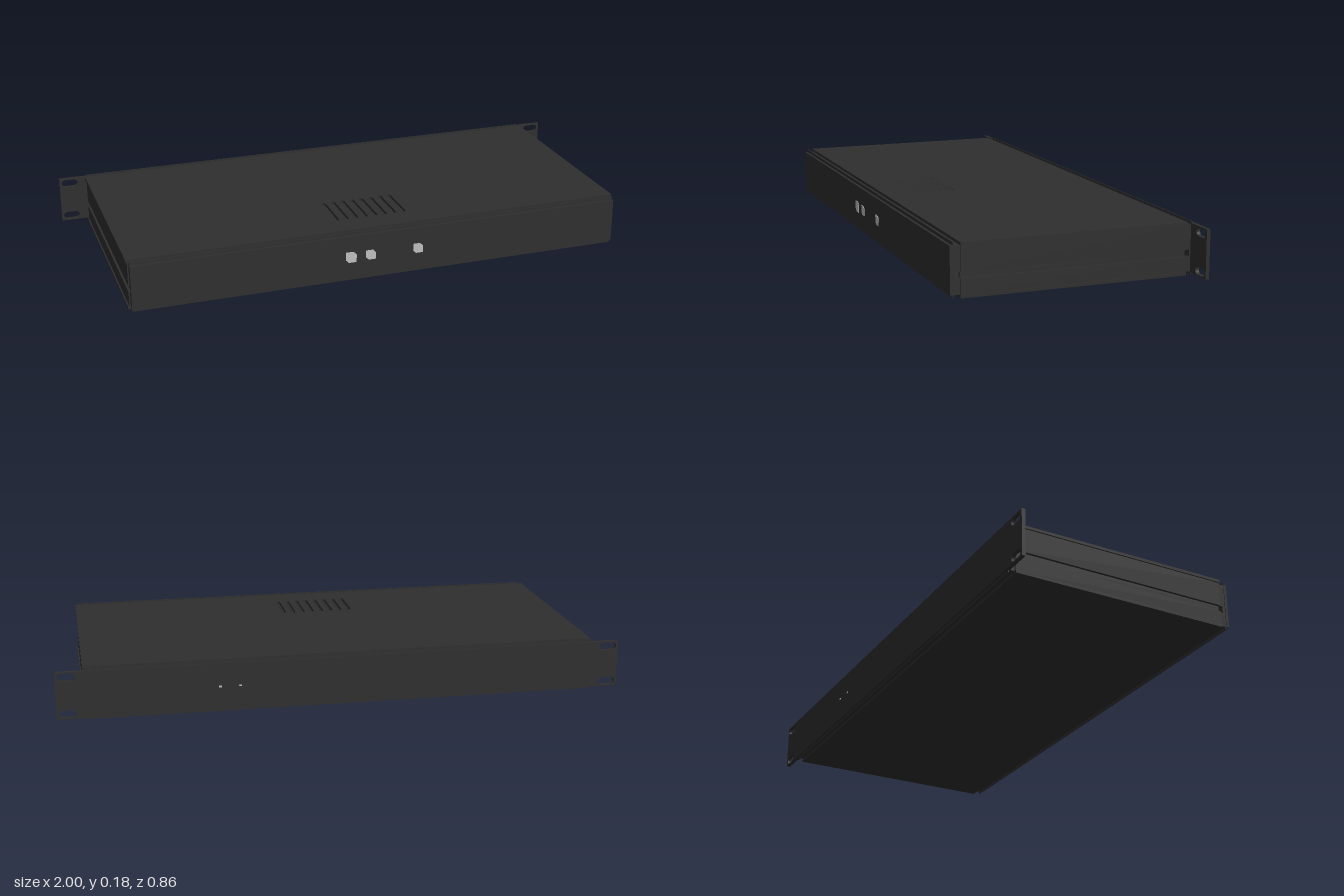
import * as THREE from 'three';

const black = new THREE.MeshStandardMaterial({ color: 0x2f2f2f });
black.name = 'black metal';
const grey = new THREE.MeshStandardMaterial({ color: 0xc0c0c0 });
grey.name = 'light grey';

function box(parent, name, x0, x1, y0, y1, z0, z1, material = black) {
  const mesh = new THREE.Mesh(new THREE.BoxGeometry(x1 - x0, y1 - y0, z1 - z0), material);
  mesh.position.set((x0 + x1) / 2, (y0 + y1) / 2, (z0 + z1) / 2);
  mesh.name = name;
  parent.add(mesh);
  return mesh;
}

function rectShape(w, h) {
  return new THREE.Shape([
    new THREE.Vector2(-w / 2, -h / 2), new THREE.Vector2(w / 2, -h / 2),
    new THREE.Vector2(w / 2, h / 2), new THREE.Vector2(-w / 2, h / 2),
  ]);
}

// Slot with round ends, lying along x or y
function slot(cx, cy, length, width, alongY = false) {
  const r = width / 2, d = length / 2 - r, path = new THREE.Path();
  if (alongY) {
    path.absarc(cx, cy + d, r, 0, Math.PI, false);
    path.absarc(cx, cy - d, r, Math.PI, Math.PI * 2, false);
  } else {
    path.absarc(cx + d, cy, r, -Math.PI / 2, Math.PI / 2, false);
    path.absarc(cx - d, cy, r, Math.PI / 2, Math.PI * 1.5, false);
  }
  path.closePath();
  return path;
}

function extrude(parent, name, shape, depth) {
  const geometry = new THREE.ExtrudeGeometry(shape, { depth, bevelEnabled: false, curveSegments: 6 });
  const mesh = new THREE.Mesh(geometry, black);
  mesh.name = name;
  parent.add(mesh);
  return mesh;
}

export function createModel() {
  const model = new THREE.Group();
  model.name = 'rackEnclosure';

  // Top cover with a row of vent slots near the front
  const cover = rectShape(1.81, 0.795);
  for (let i = 0; i < 8; i++) cover.holes.push(slot(-0.129 + i * 0.036, -0.22, 0.17, 0.016, true));
  const top = extrude(model, 'topCover', cover, 0.01);
  top.rotation.x = -Math.PI / 2;
  top.position.y = 0.173;

  // Bottom cover
  box(model, 'bottomCover', -0.905, 0.905, 0.002, 0.012, -0.398, 0.397);

  for (const s of [-1, 1]) {
    // Side rails with a long recessed groove
    const side = new THREE.Group();
    side.name = s > 0 ? 'leftSide' : 'rightSide';
    model.add(side);
    const rail = (name, xa, xb, y0, y1, z0, z1) =>
      box(side, name, Math.min(s * xa, s * xb), Math.max(s * xa, s * xb), y0, y1, z0, z1);
    rail('upperRail', 0.885, 0.9, 0.087, 0.173, -0.398, 0.396);
    rail('lowerRail', 0.885, 0.9, 0.012, 0.065, -0.398, 0.396);
    rail('railGroove', 0.885, 0.891, 0.065, 0.087, -0.398, 0.396);

    // Folded tabs that join the rails to the end panels
    for (const [z0, z1, w0, w1] of [[0.396, 0.425, 0.41, 0.425], [-0.42, -0.398, -0.42, -0.412]]) {
      rail('upperTab', 0.885, 0.895, 0.087, 0.172, z0, z1);
      rail('lowerTab', 0.885, 0.895, 0.013, 0.065, z0, z1);
      rail('tabBridge', 0.885, 0.895, 0.065, 0.087, w0, w1);
    }
  }

  // Front panel with its folded lips
  box(model, 'frontPanel', -0.897, 0.897, 0.012, 0.172, 0.42, 0.43);
  box(model, 'frontUpperLip', -0.895, 0.895, 0.165, 0.172, 0.395, 0.42);
  box(model, 'frontLowerLip', -0.895, 0.895, 0.012, 0.019, 0.395, 0.42);
  box(model, 'frontSeam', -0.895, 0.895, 0.002, 0.183, 0.417, 0.4205);

  // Back lips behind the rack plate
  box(model, 'backUpperLip', -0.895, 0.895, 0.165, 0.172, -0.418, -0.395);
  box(model, 'backLowerLip', -0.895, 0.895, 0.012, 0.019, -0.418, -0.395);
  box(model, 'backSeam', -0.895, 0.895, 0.002, 0.183, -0.4215, -0.418);

  // Wide rack plate with two mounting slots in each ear
  const plate = rectShape(2, 0.168);
  for (const x of [-0.962, 0.962]) {
    for (const y of [-0.065, 0.065]) plate.holes.push(slot(x, y, 0.06, 0.028));
  }
  const rackPlate = extrude(model, 'rackPlate', plate, 0.013);
  rackPlate.position.set(0, 0.093, -0.43);

  // Small pale indicators on the front
  for (const [x, w] of [[-0.121, 0.04], [-0.048, 0.036], [0.129, 0.036]]) {
    const c = w * 0.28, h = w / 2;
    const outline = new THREE.Shape([
      new THREE.Vector2(-h, -h + c), new THREE.Vector2(-h + c, -h), new THREE.Vector2(h, -h),
      new THREE.Vector2(h, h - c), new THREE.Vector2(h - c, h), new THREE.Vector2(-h, h),
    ]);
    const indicator = new THREE.Mesh(
      new THREE.ExtrudeGeometry(outline, { depth: 0.002, bevelEnabled: false }), grey);
    indicator.name = 'frontIndicator';
    indicator.position.set(x, 0.093, 0.4295);
    model.add(indicator);
  }

  // Tiny contacts on the back
  for (const x of [0.37, 0.44]) box(model, 'backContact', x - 0.005, x + 0.005, 0.091, 0.097, -0.431, -0.429, grey);

  return model;
}
